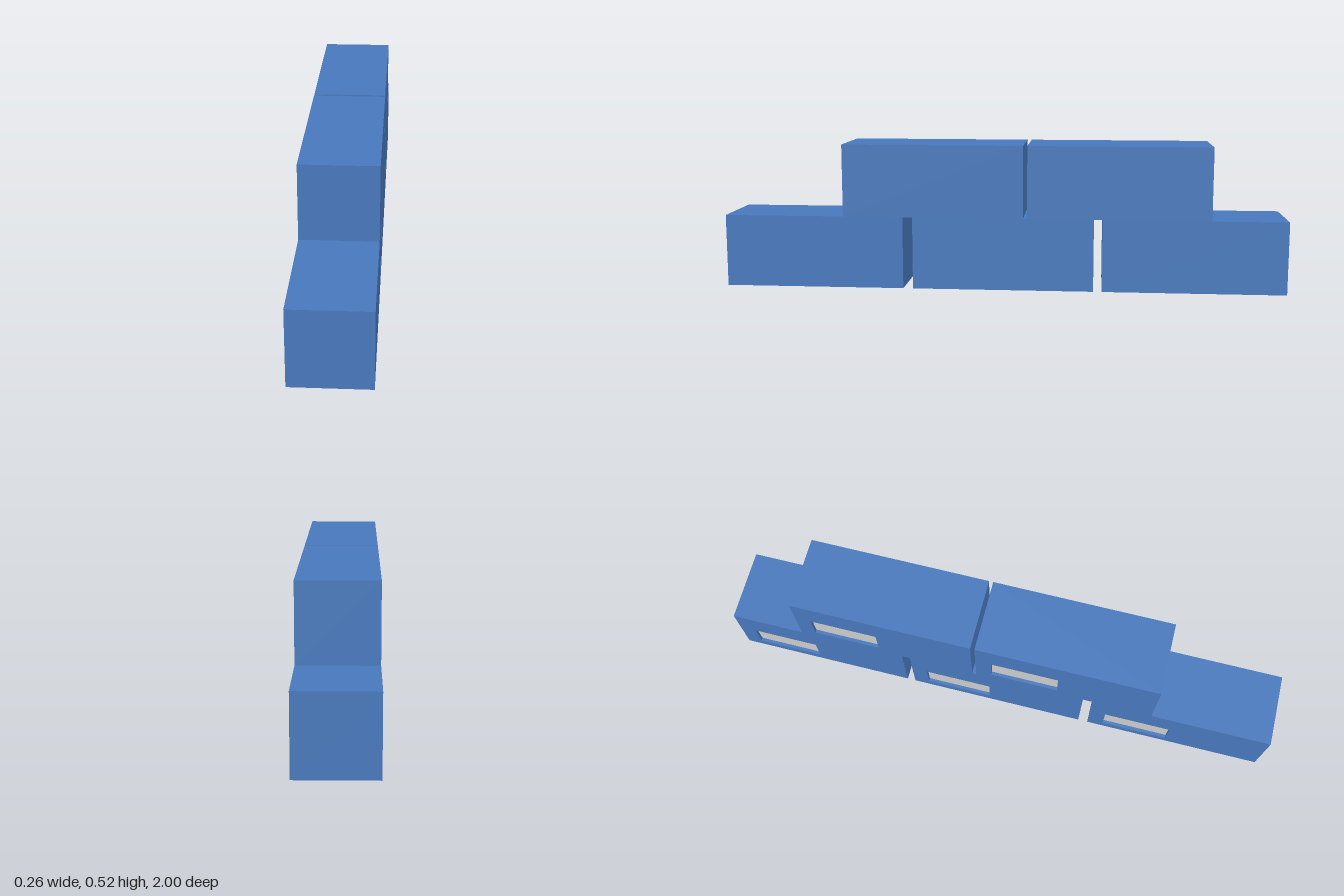
import * as THREE from 'three';
import { mergeGeometries } from 'three/addons/utils/BufferGeometryUtils.js';

const S = 0.258, L = 0.645, DEPTH = 0.012; // unit cross-section, length, recess depth

const blue = new THREE.MeshStandardMaterial({ color: 0x4878bc });
const grey = new THREE.MeshStandardMaterial({ color: 0xcccccc });

// Box without the listed faces (0..5 = +x -x +y -y +z -z)
function openBox(w, h, d, dropped) {
  const geo = new THREE.BoxGeometry(w, h, d);
  const index = Array.from(geo.index.array);
  geo.setIndex(index.filter((_, i) => !dropped.includes(Math.floor(i / 6))));
  geo.clearGroups();
  return geo;
}

// Rectangular face in XY facing +z, with pockets {x0, x1, y0, y1} sunk into it
function recessedFace(w, h, pockets, hasFloor) {
  const shape = new THREE.Shape([
    new THREE.Vector2(-w / 2, -h / 2), new THREE.Vector2(w / 2, -h / 2),
    new THREE.Vector2(w / 2, h / 2), new THREE.Vector2(-w / 2, h / 2),
  ]);
  const parts = pockets.map(({ x0, x1, y0, y1 }) => {
    shape.holes.push(new THREE.Path([
      new THREE.Vector2(x0, y0), new THREE.Vector2(x0, y1),
      new THREE.Vector2(x1, y1), new THREE.Vector2(x1, y0),
    ]));
    // mirrored box turns its walls inward
    const walls = openBox(x1 - x0, y1 - y0, DEPTH, hasFloor ? [5] : [4, 5]);
    walls.scale(1, 1, -1);
    walls.computeVertexNormals();
    return walls.translate((x0 + x1) / 2, (y0 + y1) / 2, -DEPTH / 2);
  });
  return mergeGeometries([new THREE.ShapeGeometry(shape), ...parts]);
}

const windowRect = { x0: -L / 2 + 0.057, x1: -L / 2 + 0.297, y0: 0.034 - S / 2, y1: 0.146 - S / 2 };
const slots = [0.42, 0.504].map((z) => ({
  x0: -0.067, x1: 0.027, y0: z - 0.009 - L / 2, y1: z + 0.009 - L / 2,
}));

// One long block: window on the -x side, two slots underneath
function makeBlock() {
  const block = new THREE.Group();

  const side = recessedFace(L, S, [windowRect], false).rotateY(-Math.PI / 2).translate(-S / 2, 0, 0);
  const base = recessedFace(S, L, slots, true).rotateX(Math.PI / 2).translate(0, -S / 2, 0);
  const body = new THREE.Mesh(mergeGeometries([openBox(S, S, L, [1, 3]), side, base]), blue);
  body.name = 'blockBody';

  const { x0, x1, y0, y1 } = windowRect;
  const pane = new THREE.Mesh(new THREE.PlaneGeometry(x1 - x0, y1 - y0), grey);
  pane.rotation.y = -Math.PI / 2;
  pane.position.set(-S / 2 + DEPTH, (y0 + y1) / 2, (x0 + x1) / 2);
  pane.name = 'windowPane';

  block.add(body, pane);
  return block;
}

export function createModel() {
  const model = new THREE.Group();
  model.name = 'stackedBlocks';
  const prototype = makeBlock();

  // Three blocks below, two on top, laid like bricks: [name, row, centre z]
  const layout = [
    ['lowerFrontBlock', 0, 0.6775], ['lowerMiddleBlock', 0, -0.0025], ['lowerBackBlock', 0, -0.6775],
    ['upperFrontBlock', 1, 0.2475], ['upperBackBlock', 1, -0.4125],
  ];
  for (const [name, row, z] of layout) {
    const block = prototype.clone();
    block.name = name;
    block.position.set(0, S * (row + 0.5), z);
    model.add(block);
  }
  return model;
}
